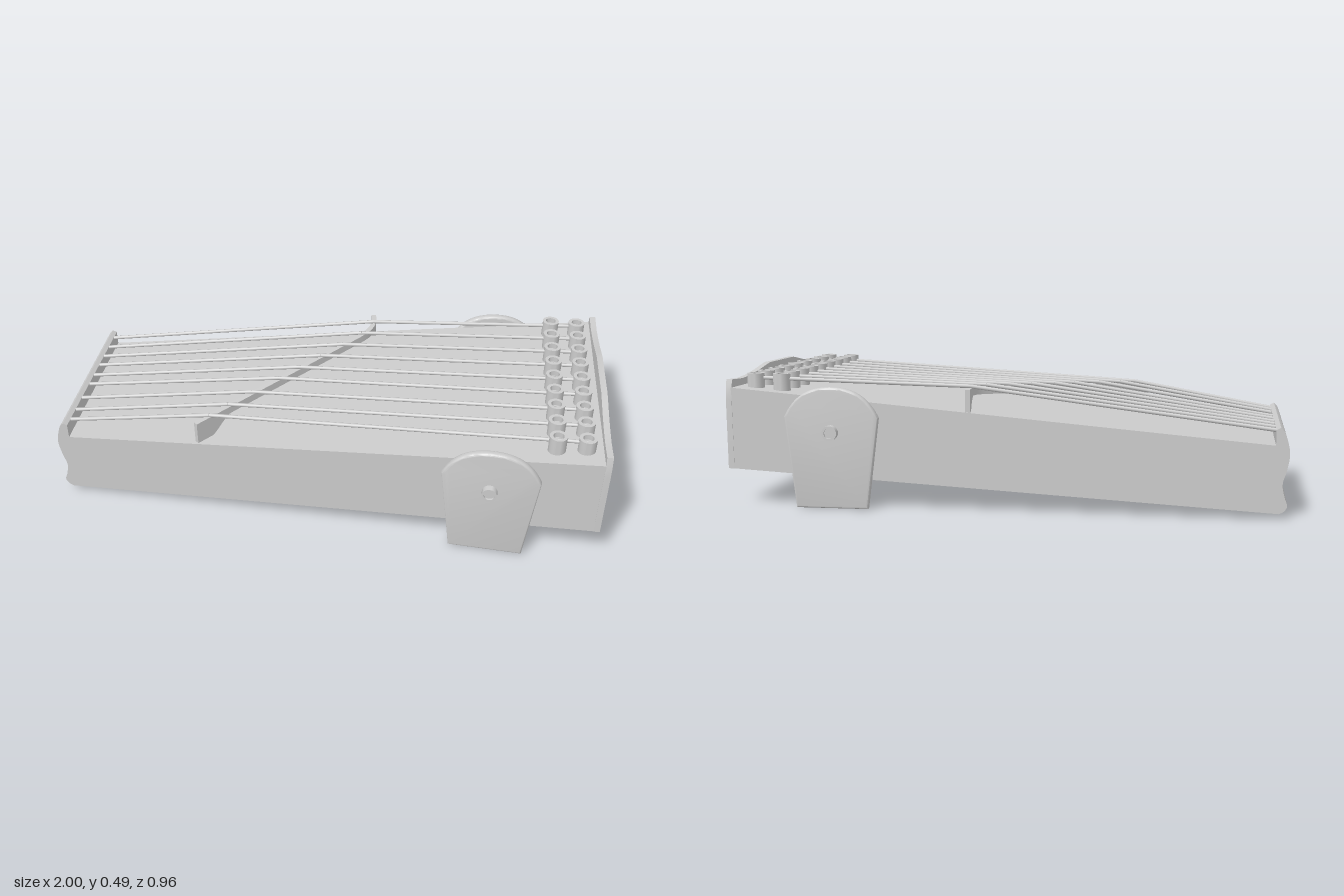
import * as THREE from 'three';
import { toCreasedNormals } from 'three/addons/utils/BufferGeometryUtils.js';

const material = new THREE.MeshStandardMaterial({ color: 0xcccccc });
const halfWidth = (x) => 0.388 + 0.07 * x; // plan taper
const boardY = (x) => 0.26 + (x + 0.95) * 0.0885; // sloping soundboard
const bridgeY = (x) => 0.398 + (x + 0.42) * 0.08;

function part(parent, name, geometry, x = 0, y = 0, z = 0) {
  const mesh = new THREE.Mesh(geometry, material);
  mesh.name = name;
  mesh.position.set(x, y, z);
  parent.add(mesh);
  return mesh;
}

// Cylinder between two points
function rod(parent, name, a, b, r) {
  const dir = b.clone().sub(a);
  const mesh = part(parent, name, new THREE.CylinderGeometry(r, r, dir.length(), 8));
  mesh.position.copy(a).add(b).multiplyScalar(0.5);
  mesh.quaternion.setFromUnitVectors(new THREE.Vector3(0, 1, 0), dir.normalize());
  return mesh;
}

// Tapered box with a raised, scrolled narrow end
function bodyGeometry() {
  const s = new THREE.Shape();
  s.moveTo(-0.968, 0.02);
  s.lineTo(0.98, 0.134);
  s.lineTo(0.98, boardY(0.98));
  s.lineTo(-0.95, boardY(-0.95));
  s.lineTo(-0.95, 0.314);
  s.lineTo(-0.965, 0.322);
  s.splineThru([[-0.982, 0.3], [-0.998, 0.235], [-0.99, 0.175], [-0.977, 0.125],
    [-0.985, 0.08], [-0.995, 0.05], [-0.985, 0.03], [-0.968, 0.02]].map((p) => new THREE.Vector2(...p)));
  const g = new THREE.ExtrudeGeometry(s, { depth: 2, bevelEnabled: false, curveSegments: 4 });
  g.translate(0, 0, -1);
  const p = g.attributes.position;
  for (let i = 0; i < p.count; i++) p.setZ(i, p.getZ(i) * halfWidth(p.getX(i)));
  return toCreasedNormals(g, 0.5);
}

// Wavy-topped plate closing the wide end
function endPlateGeometry() {
  const half = [[0.458, 0.134], [0.458, 0.385], [0.455, 0.425], [0.447, 0.46], [0.4, 0.457],
    [0.36, 0.455], [0.3, 0.459], [0.22, 0.47], [0.16, 0.482], [0.115, 0.49]];
  const outline = [...half, ...half.map(([z, y]) => [-z, y]).reverse()];
  const s = new THREE.Shape(outline.map((p) => new THREE.Vector2(...p)));
  const g = new THREE.ExtrudeGeometry(s, { depth: 0.022, bevelEnabled: false });
  g.rotateY(Math.PI / 2);
  return toCreasedNormals(g, 0.45);
}

// Thin diagonal bar with a foot at each end
function bridgeGeometry(points) {
  const n = points.length, positions = [], index = [];
  points.forEach((p, i) => {
    const q = points[Math.min(i + 1, n - 1)].clone().sub(points[Math.max(i - 1, 0)]).normalize();
    const t = i / (n - 1);
    const foot = 1 - THREE.MathUtils.smoothstep(Math.min(t / 0.16, (1 - t) / 0.07), 0.35, 1);
    const top = bridgeY(p.x) - 0.006;
    const low = THREE.MathUtils.lerp(top - 0.028, boardY(p.x) - 0.002, foot);
    const nx = -q.y * 0.009, nz = q.x * 0.009;
    positions.push(p.x + nx, low, p.y + nz, p.x + nx, top, p.y + nz,
      p.x - nx, top, p.y - nz, p.x - nx, low, p.y - nz);
  });
  for (let i = 0; i < n - 1; i++) {
    for (let k = 0; k < 4; k++) {
      const a = i * 4 + k, b = i * 4 + (k + 1) % 4;
      index.push(a, a + 4, b, b, a + 4, b + 4);
    }
  }
  const e = (n - 1) * 4;
  index.push(0, 1, 2, 0, 2, 3, e, e + 2, e + 1, e, e + 3, e + 2);
  const g = new THREE.BufferGeometry();
  g.setAttribute('position', new THREE.Float32BufferAttribute(positions, 3));
  g.setIndex(index);
  return toCreasedNormals(g, 0.6);
}

// Tapered leg with a rounded top and softened rim
function legGeometry() {
  const s = new THREE.Shape();
  s.moveTo(-0.122, 0.008);
  s.lineTo(0.128, 0.008);
  s.lineTo(0.164, 0.33);
  s.bezierCurveTo(0.13, 0.4, 0.08, 0.432, 0, 0.432);
  s.bezierCurveTo(-0.08, 0.432, -0.13, 0.4, -0.164, 0.33);
  s.closePath();
  const g = new THREE.ExtrudeGeometry(s, {
    depth: 0.012, bevelSize: 0.008, bevelThickness: 0.008, bevelSegments: 3, curveSegments: 12,
  });
  return toCreasedNormals(g, 0.6);
}

// Lathe profile of a pin with a recessed top
function pinGeometry(r, h, hole, depth) {
  const profile = [[0, 0], [r, 0], [r, h], [hole, h], [hole, h - depth], [0, h - depth]];
  const g = new THREE.LatheGeometry(profile.map((p) => new THREE.Vector2(...p)), 24);
  return toCreasedNormals(g, 0.6);
}

export function createModel() {
  const model = new THREE.Group();
  model.name = 'zither';
  part(model, 'body', bodyGeometry());
  part(model, 'endPlate', endPlateGeometry(), 0.978);

  // Bridge: straight run that hooks towards the back edge
  const path = new THREE.CurvePath();
  const v = (x, z) => new THREE.Vector2(x, z);
  path.add(new THREE.LineCurve(v(-0.455, 0.345), v(0.06, -0.22)));
  path.add(new THREE.CubicBezierCurve(v(0.06, -0.22), v(0.115, -0.28), v(0.13, -0.31), v(0.117, -0.392)));
  const line = path.getSpacedPoints(60);
  part(model, 'bridge', bridgeGeometry(line));

  // Strings over the bridge, each with two tuning pegs
  const strings = new THREE.Group();
  strings.name = 'strings';
  const pegs = new THREE.Group();
  pegs.name = 'tuningPegs';
  model.add(strings, pegs);
  const pegShape = pinGeometry(0.031, 0.07, 0.019, 0.02);
  const startZ = [-0.285, -0.215, -0.148, -0.085, -0.015, 0.047, 0.138, 0.214, 0.275];
  startZ.forEach((z0, i) => {
    const z1 = (i - 4) * 0.0925;
    const zAt = (x) => z0 + (z1 - z0) * (x + 0.955) / 1.875;
    const hit = line.reduce((a, b) => (Math.abs(b.y - zAt(b.x)) < Math.abs(a.y - zAt(a.x)) ? b : a));
    const rest = new THREE.Vector3(hit.x, bridgeY(hit.x), zAt(hit.x));
    rod(strings, 'string', new THREE.Vector3(-0.955, 0.308, z0), rest, 0.007);
    rod(strings, 'string', rest, new THREE.Vector3(0.92, 0.46, z1), 0.007);
    for (const x of [0.82, 0.92]) part(pegs, 'tuningPeg', pegShape, x, 0.407, z1);
  });

  // Legs bolted to both sides, following the taper
  for (const side of [1, -1]) {
    const leg = new THREE.Group();
    leg.name = side > 0 ? 'frontLeg' : 'backLeg';
    leg.position.set(0.605, 0, side * 0.442);
    leg.rotation.y = -side * Math.atan(0.07);
    part(leg, 'legPanel', legGeometry(), 0, 0, -0.006);
    const bolt = part(leg, 'bolt', pinGeometry(0.027, 0.06, 0.019, 0.008), 0, 0.278, -side * 0.022);
    bolt.rotation.x = side * Math.PI / 2;
    model.add(leg);
  }
  return model;
}
